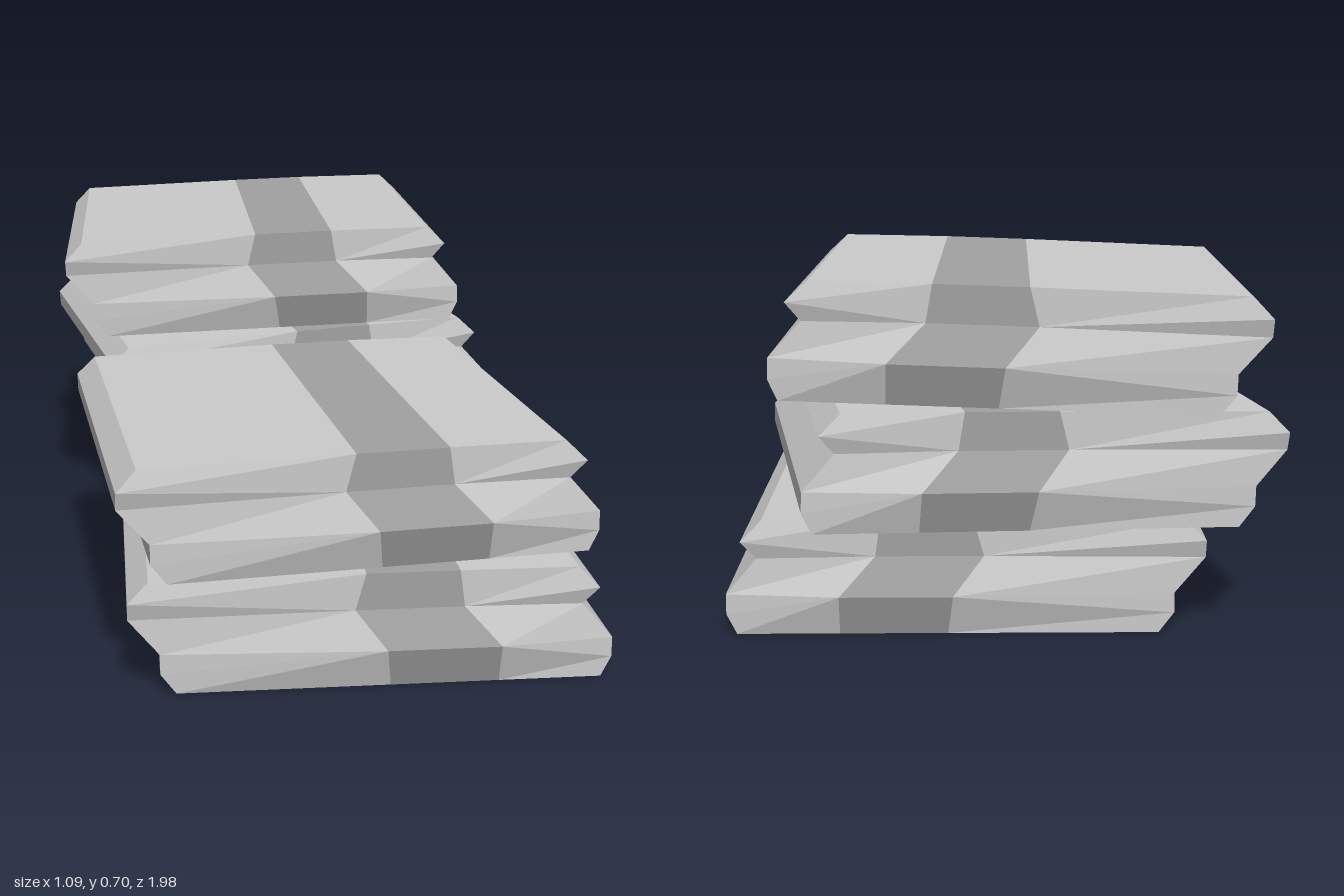
import * as THREE from 'three';

const sackMaterial = new THREE.MeshStandardMaterial({ color: 0xcccccc, flatShading: true });
const bandMaterial = new THREE.MeshStandardMaterial({ color: 0xa2a2a2, flatShading: true });

// Cross-section columns from the left edge to the right edge: [x, y, half length] per row.
// The band columns pinch neighbouring rows together, so their rows repeat.
const left = [[-0.375, 0, 0.43], [-0.405, 0.04, 0.43], [-0.405, 0.08, 0.43],
  [-0.465, 0.15, 0.425], [-0.465, 0.185, 0.435], [-0.425, 0.225, 0.425]];
const right = [[0.445, 0, 0.43], [0.465, 0.04, 0.43], [0.465, 0.08, 0.43],
  [0.405, 0.15, 0.425], [0.435, 0.185, 0.435], [0.395, 0.225, 0.425]];
const pinch = (a, b, c, d) => [a, b, b, c, c, d];
const bandLeft = pinch([0.035, 0, 0.43], [0.025, 0.08, 0.455], [-0.035, 0.155, 0.43], [-0.015, 0.228, 0.43]);
const bandRight = pinch([0.245, 0, 0.43], [0.245, 0.08, 0.455], [0.175, 0.155, 0.43], [0.165, 0.228, 0.43]);
const columns = [left, bandLeft, bandRight, right];
const lastRow = left.length - 1;

const point = (col, row, end) => {
  const [x, y, z] = columns[col][row];
  return new THREE.Vector3(x, y, z * end);
};

// Faceted geometry from quads, leaving out collapsed triangles.
function quadGeometry(quads) {
  const points = [];
  for (const [a, b, c, d] of quads) {
    for (const tri of [[a, b, c], [a, c, d]]) {
      if (new THREE.Triangle(...tri).getArea() > 1e-6) points.push(...tri);
    }
  }
  const geometry = new THREE.BufferGeometry().setFromPoints(points);
  geometry.computeVertexNormals();
  return geometry;
}

// Ends, top and underside between two neighbouring columns.
function strip(col) {
  const quads = [];
  const ring = (row, end) => [point(col, row, end), point(col + 1, row, end)];
  for (let row = 0; row < lastRow; row++) {
    for (const end of [1, -1]) {
      const [a, b] = ring(row, end);
      const [d, c] = ring(row + 1, end);
      quads.push(end > 0 ? [a, b, c, d] : [b, a, d, c]);
    }
  }
  for (const row of [0, lastRow]) {
    const [a, b] = ring(row, 1);
    const [d, c] = ring(row, -1);
    quads.push(row ? [a, b, c, d] : [d, c, b, a]);
  }
  return quads;
}

// Long side wall of the sack.
function side(col) {
  const quads = [];
  for (let row = 0; row < lastRow; row++) {
    const quad = [point(col, row, 1), point(col, row, -1), point(col, row + 1, -1), point(col, row + 1, 1)];
    quads.push(col ? quad : quad.reverse());
  }
  return quads;
}

export function createModel() {
  const model = new THREE.Group();
  model.name = 'sackPile';

  const sackGeometry = quadGeometry([...strip(0), ...strip(2), ...side(0), ...side(3)]);
  const bandGeometry = quadGeometry(strip(1));

  // Name, position, turn about y, tilt about z.
  const sacks = [
    ['frontBottomSack', [0.075, 0, 0.52], 0, 0],
    ['backBottomSack', [0.075, 0, -0.42], 0, 0],
    ['frontUpperSack', [0.02, 0.232, 0.505], 0.09, 0.012],
    ['backMiddleSack', [-0.01, 0.226, -0.5], 0.165, 0.03],
    ['backTopSack', [-0.03, 0.462, -0.51], -0.018, 0.035],
  ];
  for (const [name, position, turn, tilt] of sacks) {
    const sack = new THREE.Group();
    sack.name = name;
    const body = new THREE.Mesh(sackGeometry, sackMaterial);
    body.name = 'sackBody';
    const band = new THREE.Mesh(bandGeometry, bandMaterial);
    band.name = 'darkBand';
    sack.add(body, band);
    sack.position.set(...position);
    sack.rotation.set(0, turn, tilt);
    model.add(sack);
  }
  return model;
}
